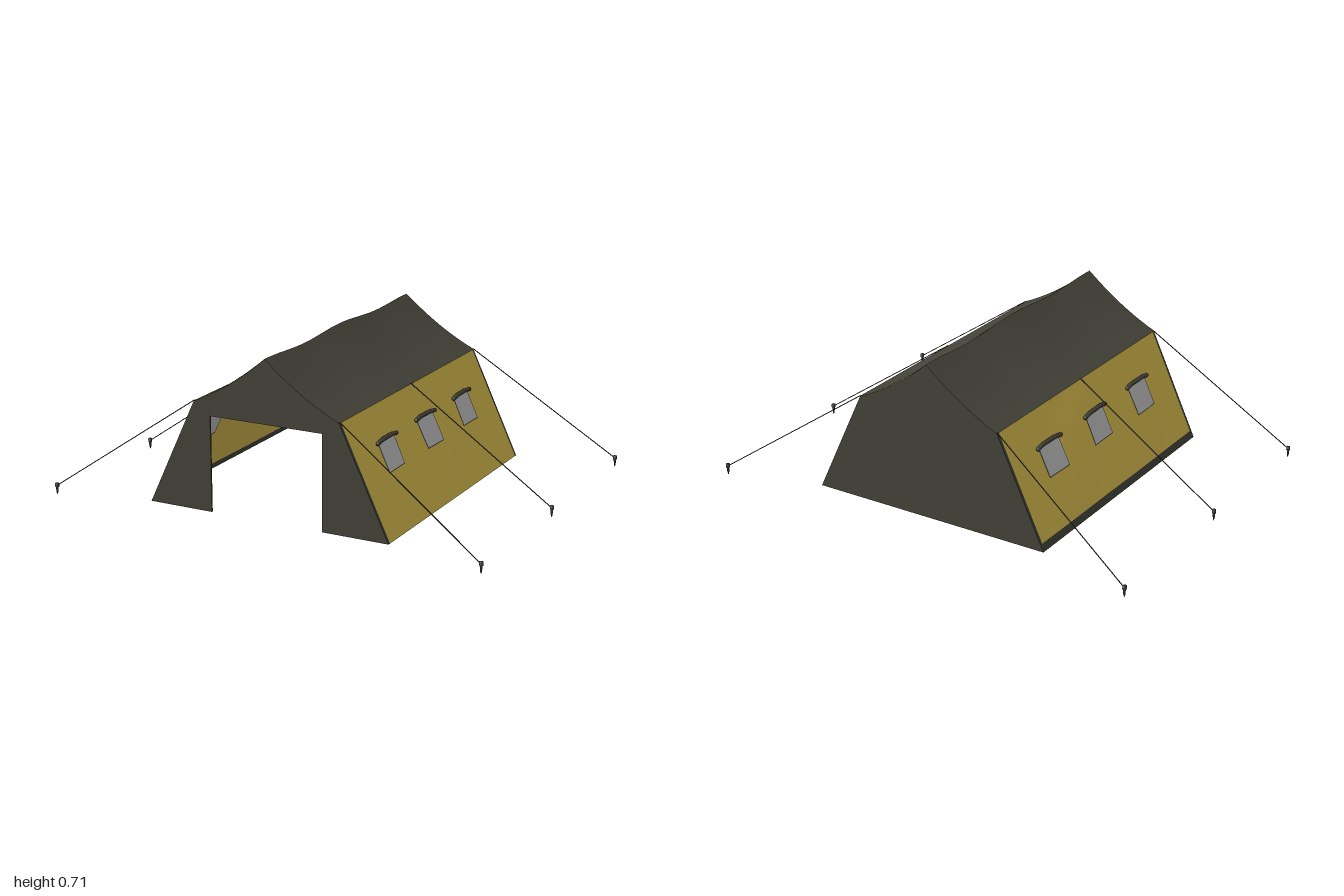
import * as THREE from 'three';

const mat = (name, color) => {
  const m = new THREE.MeshStandardMaterial({ color, side: THREE.DoubleSide });
  m.name = name;
  return m;
};

// Main dimensions
const FRONT = 0.66, BACK = -0.63, MID = 0.015;
const EAVE_X = 0.337, EAVE_Y = 0.49, BASE_X = 0.558, BASE_Y = 0.02;
const lerp = THREE.MathUtils.lerp;

export function createModel() {
  const canvas = mat('dark canvas', 0x45443a);
  const yellow = mat('yellow canvas', 0xdcbe50);
  const glass = mat('window grey', 0xc4c4c4);
  const cord = mat('rope and peg', 0x3a3a36);
  const model = new THREE.Group();
  model.name = 'tent';

  const add = (name, geometry, material, parent = model) => {
    const mesh = new THREE.Mesh(geometry, material);
    mesh.name = name;
    parent.add(mesh);
    return mesh;
  };

  // Grid surface from a rule f(u, v) -> [x, y, z]
  const sheet = (f, nu, nv) => {
    const g = new THREE.PlaneGeometry(1, 1, nu, nv);
    const p = g.attributes.position;
    for (let i = 0; i < p.count; i++) p.setXYZ(i, ...f(p.getX(i) + 0.5, p.getY(i) + 0.5));
    g.computeVertexNormals();
    return g;
  };

  // Sagging roof: t runs from the ridge (0) to the eave (1)
  const roofY = (t, z) => {
    const u = (z - MID) / 0.645;
    const ridge = 0.708 + 0.007 * Math.cos(2 * Math.PI * u) - 0.006 * u * u;
    return lerp(ridge, EAVE_Y, t) - 0.07 * t * (1 - t);
  };

  // Softly rippled side wall: point at height y, pushed out by off
  const wallPoint = (side, y, z, off = 0) => {
    const s = (EAVE_Y - y) / (EAVE_Y - BASE_Y);
    const ripple = Math.sin(Math.PI * s) * Math.sin(Math.PI * (z - BACK) / (FRONT - BACK));
    const wave = 0.004 * Math.sin(z * 10 + y * 9 * side) + (side < 0 ? 0.006 : 0);
    const x = lerp(EAVE_X, BASE_X, s) + ripple * wave + off;
    return [side * x, y + off * 0.45, z];
  };
  const wallPatch = (side, y0, y1, z0, z1, off, n = 10) =>
    sheet((u, v) => wallPoint(side, lerp(y0, y1, v), lerp(z0, z1, u), off), n, n);

  for (const side of [1, -1]) {
    const half = new THREE.Group();
    half.name = side > 0 ? 'leftHalf' : 'rightHalf';
    model.add(half);

    // Roof and its lining
    const roof = (drop, inset) => sheet((u, v) => {
      const z = lerp(BACK + inset, FRONT - inset, u);
      return [side * v * (EAVE_X + 0.002), roofY(v, z) - drop, z];
    }, 32, 10);
    add('roof', roof(0, 0), canvas, half);
    add('roofLining', roof(0.007, 0.008), yellow, half);

    // Wall with dark edging at both ends, and a ground strip on one side
    const low = side > 0 ? BASE_Y : 0.05;
    add('sideWall', wallPatch(side, low, EAVE_Y, BACK + 0.012, FRONT - 0.012, 0, 32), yellow, half);
    add('wallEdge', wallPatch(side, BASE_Y, EAVE_Y, BACK, BACK + 0.012, 0), canvas, half);
    add('wallEdge', wallPatch(side, BASE_Y, EAVE_Y, FRONT - 0.012, FRONT, 0), canvas, half);
    if (side < 0) {
      add('groundStrip', wallPatch(side, BASE_Y, low, BACK + 0.012, FRONT - 0.012, 0, 32), canvas, half);
    }

    // Windows with a rolled-up flap
    for (const z of [0.38, MID, -0.35]) {
      const win = new THREE.Group();
      win.name = 'window';
      half.add(win);
      for (const face of [1, -1]) {
        add('windowEdge', wallPatch(side, 0.238, 0.362, z - 0.075, z + 0.075, face * 0.002), canvas, win);
        add('windowPane', wallPatch(side, 0.242, 0.36, z - 0.071, z + 0.071, face * 0.004), glass, win);
      }
      const roll = new THREE.CatmullRomCurve3([-0.085, -0.045, 0, 0.045, 0.085].map((d, i) =>
        new THREE.Vector3(...wallPoint(side, i % 4 ? 0.362 : 0.357, z + d, 0.009))));
      add('rolledFlap', new THREE.TubeGeometry(roll, 12, 0.009, 8), canvas, win);
      for (const end of [0, 1]) {
        const cap = add('flapEnd', new THREE.SphereGeometry(0.0095, 8, 6), canvas, win);
        cap.position.copy(roll.getPoint(end));
      }
    }

    // Guy ropes and pegs
    for (const [z, pegZ] of [[FRONT - 0.005, 0.735], [MID, MID], [BACK + 0.002, -0.738]]) {
      const top = new THREE.Vector3(side * EAVE_X, EAVE_Y + 0.002, z);
      const bottom = new THREE.Vector3(side * 0.99, 0.042, pegZ);
      add('guyRope', new THREE.TubeGeometry(new THREE.LineCurve3(top, bottom), 1, 0.0022, 6), cord, half);
      const peg = new THREE.LatheGeometry(
        [[0, 0], [0.004, 0.012], [0.006, 0.035], [0.009, 0.037], [0.009, 0.052], [0, 0.055]]
          .map(([r, y]) => new THREE.Vector2(r, y)), 8);
      add('peg', peg, cord, half).position.set(side * 0.99, 0, pegZ);
    }
  }

  // Gable ends; the front one has a doorway cut up from the ground
  const gable = (z, doorway) => {
    const s = new THREE.Shape();
    s.moveTo(-BASE_X, BASE_Y);
    if (doorway) {
      for (const [x, y] of [[-0.26, BASE_Y], [-0.26, 0.435], [0.26, 0.435], [0.26, BASE_Y]]) s.lineTo(x, y);
    }
    s.lineTo(BASE_X, BASE_Y);
    for (let i = -8; i <= 8; i++) s.lineTo(-i / 8 * EAVE_X, roofY(Math.abs(i) / 8, z) - 0.001);
    s.closePath();
    return new THREE.ExtrudeGeometry(s, { depth: 0.007, bevelEnabled: false });
  };
  add('frontGable', gable(FRONT, true), canvas).position.z = FRONT - 0.006;
  add('backGable', gable(BACK, false), canvas).position.z = BACK - 0.001;

  return model;
}
